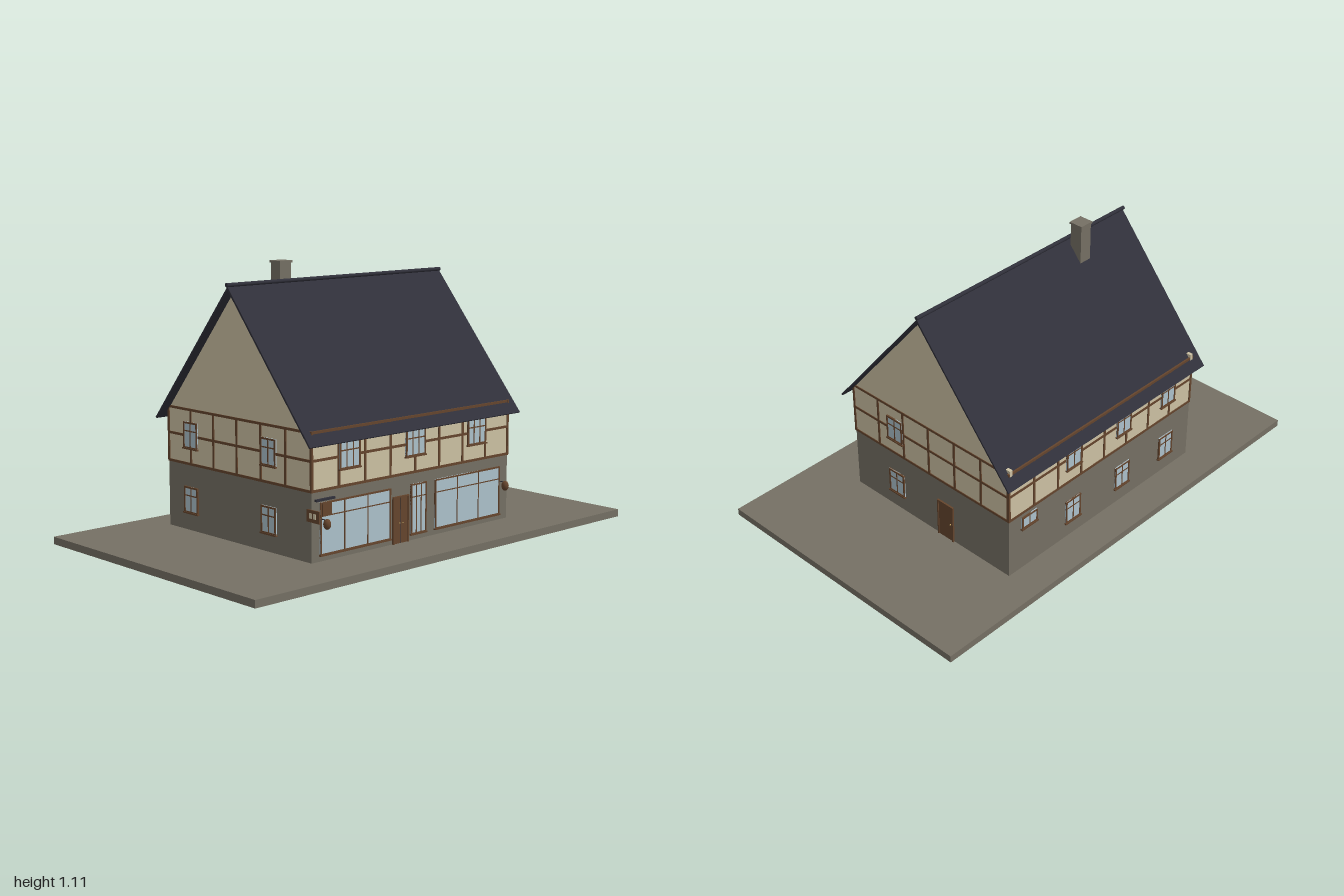
import * as THREE from 'three';

const mat = (name, color) => {
  const m = new THREE.MeshStandardMaterial({ color });
  m.name = name;
  return m;
};

export function createModel() {
  const stone = mat('stone grey', 0x757064);
  const plaster = mat('cream plaster', 0xcdc2a4);
  const timber = mat('timber brown', 0x65452d);
  const glass = mat('window glass', 0xadc2cc);
  const slate = mat('dark slate', 0x30303a);
  const brass = mat('brass', 0xc9a866);

  const model = new THREE.Group();
  model.name = 'halfTimberedHouse';

  const W = 0.54, FRONT = 0.388, BACK = -0.465, MID = -0.037;
  const BASE = 0.03, FLOOR = 0.295, EAVE = 0.52;

  // box from its min and max corners
  const box = (parent, name, m, x0, x1, y0, y1, z0, z1) => {
    const mesh = new THREE.Mesh(new THREE.BoxGeometry(x1 - x0, y1 - y0, z1 - z0), m);
    mesh.position.set((x0 + x1) / 2, (y0 + y1) / 2, (z0 + z1) / 2);
    mesh.name = name;
    parent.add(mesh);
    return mesh;
  };

  // profile of [z, y] points extruded along x
  const prism = (name, m, points, x0, x1) => {
    const shape = new THREE.Shape(points.map(([z, y]) => new THREE.Vector2(-z, y)));
    const geo = new THREE.ExtrudeGeometry(shape, { depth: x1 - x0, bevelEnabled: false });
    geo.rotateY(Math.PI / 2).translate(x0, 0, 0);
    const mesh = new THREE.Mesh(geo, m);
    mesh.name = name;
    model.add(mesh);
  };

  // ground and walls
  box(model, 'groundSlab', stone, -1, 1, 0, BASE, -0.612, 0.612);
  box(model, 'groundFloorWalls', stone, -W, W, BASE, FLOOR, BACK, FRONT);
  prism('upperWallsAndGables', plaster,
    [[FRONT, FLOOR], [FRONT, 0.508], [MID, 1.012], [BACK, 0.508], [BACK, FLOOR]], -W, W);

  // roof with thin slopes and a ridge roll
  prism('roof', slate, [[0.424, 0.472], [MID, 1.024], [-0.5, 0.472],
    [-0.494, 0.468], [MID, 1.011], [0.418, 0.468]], -0.578, 0.575);
  const ridge = new THREE.Mesh(new THREE.CylinderGeometry(0.008, 0.008, 1.16, 10), slate);
  ridge.rotation.z = Math.PI / 2;
  ridge.position.set(-0.003, 1.03, MID);
  ridge.name = 'ridgeRoll';
  model.add(ridge);
  for (const x of [-0.53, 0.53])
    box(model, 'rafterEnd', plaster, x - 0.007, x + 0.007, 0.5, 0.535, -0.469, -0.442);

  // chimney
  box(model, 'chimney', stone, -0.3, -0.244, 0.9, 1.1, -0.108, -0.054);
  box(model, 'chimneyCap', stone, -0.304, -0.24, 1.098, 1.106, -0.112, -0.05);

  // wall faces: local x runs along the wall, local z points outwards
  const face = (name, x, z, turn) => {
    const g = new THREE.Group();
    g.name = name;
    g.position.set(x, 0, z);
    g.rotation.y = turn;
    model.add(g);
    return g;
  };
  const front = face('frontFace', 0, FRONT, 0);
  const back = face('backFace', 0, BACK, Math.PI);
  const left = face('leftFace', W, MID, Math.PI / 2);
  const right = face('rightFace', -W, MID, -Math.PI / 2);

  // timber framing
  const frame = (wall, half, bays) => {
    for (const y of [FLOOR + 0.004, 0.412, EAVE - 0.003])
      box(wall, 'rail', timber, -half - 0.003, half + 0.003, y - 0.005, y + 0.005, -0.004, 0.003);
    for (let i = 0; i <= bays; i++) {
      const x = -half + 0.002 + (2 * half - 0.004) * i / bays;
      box(wall, 'post', timber, x - 0.005, x + 0.005, FLOOR, EAVE - 0.006, -0.004, 0.003);
    }
  };
  frame(front, W, 8);
  frame(back, W, 8);
  frame(left, (FRONT - BACK) / 2, 6);
  frame(right, (FRONT - BACK) / 2, 6);

  // glazed window with frame, mullions and transom
  const glazing = (wall, name, x, y0, w, h, cols, transom, t = 0.007, sill = true) => {
    const g = new THREE.Group();
    g.name = name;
    g.position.set(x, y0, 0);
    wall.add(g);
    box(g, 'glass', glass, -w / 2, w / 2, 0, h, -0.002, 0.0045);
    for (let i = 0; i <= cols; i++) {
      const edge = i === 0 || i === cols, b = edge ? t : t * 0.7;
      const c = -w / 2 + t / 2 + (w - t) * i / cols;
      box(g, edge ? 'frameSide' : 'mullion', timber, c - b / 2, c + b / 2, 0, h, 0, edge ? 0.007 : 0.006);
    }
    for (const y of [t / 2, h - t / 2])
      box(g, 'frameRail', timber, -w / 2, w / 2, y - t / 2, y + t / 2, 0, 0.0068);
    if (transom) box(g, 'transom', timber, -w / 2, w / 2, h * transom - t * 0.35, h * transom + t * 0.35, 0, 0.0058);
    if (sill) box(g, 'sill', timber, -w / 2 - 0.003, w / 2 + 0.003, -0.003, 0.003, 0, 0.01);
  };

  // front: upper windows and shop windows
  for (const x of [-0.35, 0, 0.35]) glazing(front, 'upperWindow', x, 0.362, 0.108, 0.108, 3, 0.66);
  glazing(front, 'shopWindow', -0.318, 0.053, 0.365, 0.2, 3, 0.74, 0.006);
  glazing(front, 'shopWindow', 0.3, 0.053, 0.38, 0.2, 3, 0.74, 0.006);
  glazing(front, 'narrowWindow', 0.018, 0.053, 0.086, 0.2, 3, 0.74, 0.006);

  // gable sides
  const W0 = 0.086, H0 = 0.107;
  for (const y of [0.1, 0.361]) {
    glazing(left, 'sideWindow', MID - 0.151, y, W0, H0, 2, 0.66);
    for (const z of [-0.32, 0.151]) glazing(right, 'sideWindow', z - MID, y, W0, H0, 2, 0.66);
  }

  // back: x is mirrored on this wall
  for (const x of [0.18, -0.115, -0.39])
    for (const y of [0.1, 0.361]) glazing(back, 'backWindow', -x, y, W0, H0, 2, 0.66);
  glazing(back, 'smallBackWindow', -0.43, 0.222, W0, 0.055, 2, 0);

  // doors
  const door = (wall, x, w, h, leaves) => {
    const g = new THREE.Group();
    g.name = 'door';
    g.position.set(x, BASE, 0);
    wall.add(g);
    box(g, 'doorPanel', timber, -w / 2, w / 2, 0, h, -0.002, 0.004);
    for (const s of [-1, 1])
      box(g, 'doorJamb', timber, s * w / 2 - 0.003, s * w / 2 + 0.003, 0, h, 0, 0.008);
    box(g, 'doorHead', timber, -w / 2, w / 2, h - 0.006, h, 0, 0.008);
    if (leaves === 2) box(g, 'doorGap', slate, -0.001, 0.001, 0, h - 0.006, 0, 0.0045);
    const hx = leaves === 2 ? [-0.008, 0.008] : [w / 2 - 0.012];
    for (const k of hx) box(g, 'doorHandle', brass, k - 0.002, k + 0.002, 0.078, 0.082, 0, 0.009);
  };
  door(front, -0.08, 0.08, 0.186, 2);
  door(left, MID + 0.125, 0.08, 0.17, 1);

  // lanterns beside the shop windows
  for (const x of [-0.495, 0.49]) {
    const lamp = new THREE.Mesh(new THREE.SphereGeometry(0.015, 14, 10), timber);
    lamp.scale.y = 1.35;
    lamp.position.set(x, 0.177, FRONT + 0.036);
    lamp.name = 'lantern';
    model.add(lamp);
    box(model, 'lanternArm', slate, x - 0.0015, x + 0.0015, 0.19, 0.193, FRONT, FRONT + 0.036);
  }

  // notice board with its dark canopy
  box(front, 'noticeBoard', timber, -0.492, -0.445, 0.2, 0.252, 0, 0.009);
  box(front, 'noticeCanopy', slate, -0.525, -0.43, 0.26, 0.268, 0, 0.012);

  // hanging sign with plain pale panels on both sides
  box(model, 'hangingSign', timber, -0.584, -0.578, 0.2, 0.246, 0.41, 0.476);
  for (const z of [0.433, 0.453])
    box(model, 'signPanel', plaster, -0.5855, -0.5765, 0.214, 0.234, z - 0.007, z + 0.007);

  return model;
}
